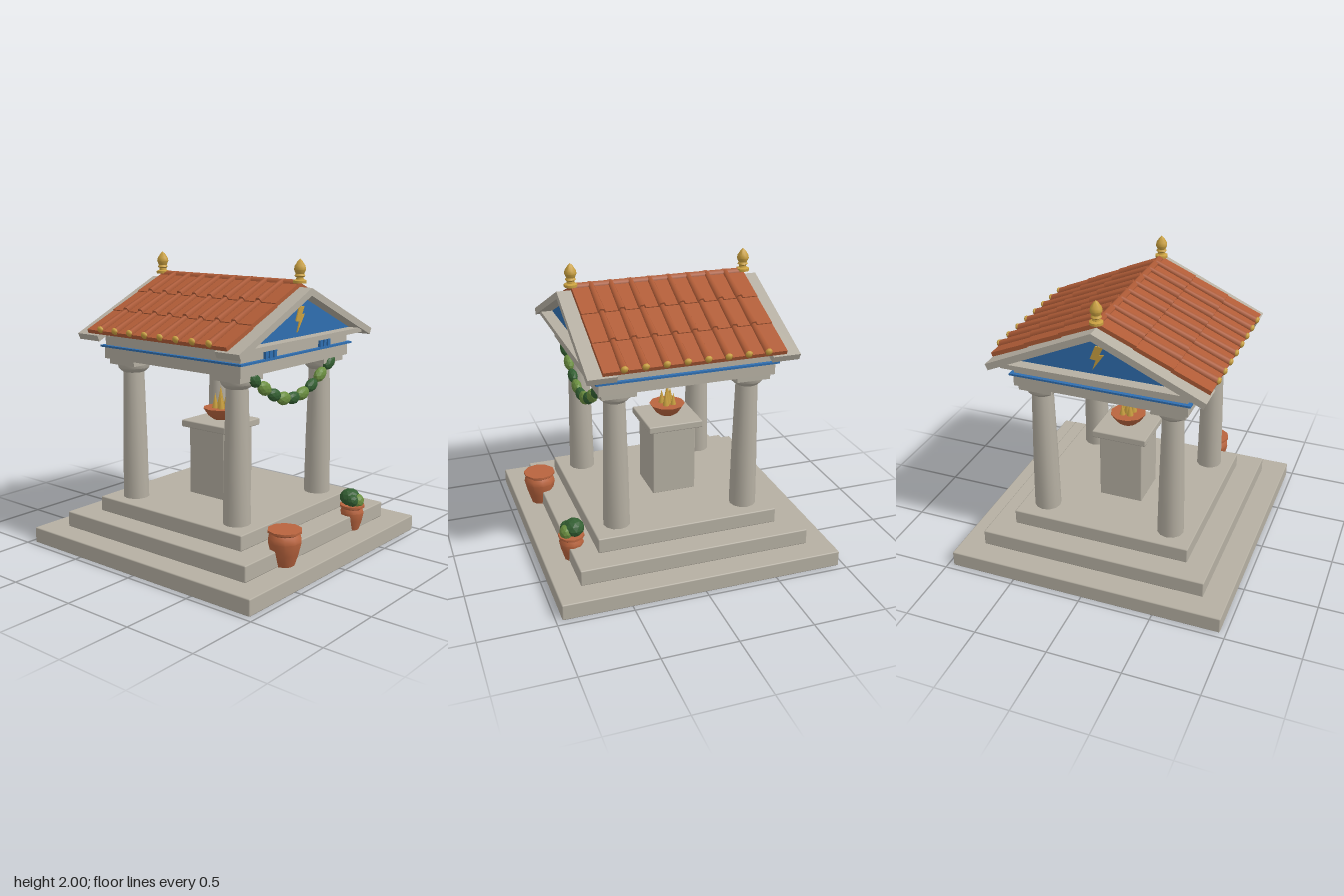
import * as THREE from 'three';
import { toCreasedNormals } from 'three/addons/utils/BufferGeometryUtils.js';
import { RoundedBoxGeometry } from 'three/addons/geometries/RoundedBoxGeometry.js';

const mat = (name, color) => {
  const m = new THREE.MeshStandardMaterial({ color });
  m.name = name;
  return m;
};

export function createModel() {
  const stone = mat('stone', 0xb5afa2);
  const blue = mat('blue paint', 0x2f6eb0);
  const tile = mat('roof tile', 0xb05c37);
  const clay = mat('clay', 0xb9643e);
  const gold = mat('gold', 0xc9a040);
  const darkLeaf = mat('dark leaf', 0x335f32);
  const lightLeaf = mat('light leaf', 0x6b8f40);

  const model = new THREE.Group();
  model.name = 'shrine';

  // Helpers
  const add = (parent, name, geo, material, x = 0, y = 0, z = 0) => {
    const mesh = new THREE.Mesh(geo, material);
    mesh.name = name;
    mesh.position.set(x, y, z);
    parent.add(mesh);
    return mesh;
  };
  const group = (parent, name) => {
    const g = new THREE.Group();
    g.name = name;
    parent.add(g);
    return g;
  };
  const box = (w, h, d) => new THREE.BoxGeometry(w, h, d);
  const block = (w, h, d) => new RoundedBoxGeometry(w, h, d, 1, 0.008);
  const lathe = (points, sides = 10) => {
    const geo = new THREE.LatheGeometry(points.map(([r, y]) => new THREE.Vector2(r, y)), sides);
    geo.rotateY(Math.PI / 2);
    return toCreasedNormals(geo, 0.7);
  };
  const polygon = (points, depth) => new THREE.ExtrudeGeometry(
    new THREE.Shape(points.map(([x, y]) => new THREE.Vector2(x, y))),
    { depth, bevelEnabled: false });
  const square = (r) => [[-r, -r], [r, -r], [r, r], [-r, r]].map(([x, y]) => new THREE.Vector2(x, y));
  const ring = (outer, inner, height) => {
    const shape = new THREE.Shape(square(outer));
    shape.holes.push(new THREE.Path(square(inner).reverse()));
    const geo = new THREE.ExtrudeGeometry(shape, { depth: height, bevelEnabled: false });
    return geo.rotateX(-Math.PI / 2);
  };
  const clump = (rx, ry, rz) => {
    const geo = new THREE.IcosahedronGeometry(1, 1).scale(rx, ry, rz);
    geo.computeVertexNormals();
    return geo;
  };

  // Stepped platform
  [[0.96, 0, 0.11], [0.795, 0.11, 0.22], [0.63, 0.22, 0.325]].forEach(([r, y0, y1]) =>
    add(model, 'step', block(2 * r, y1 - y0, 2 * r), stone, 0, (y0 + y1) / 2, 0));

  // Columns with capitals
  const shaft = lathe([[0, 0.32], [0.092, 0.32], [0.086, 0.72], [0.073, 1.22], [0, 1.22]], 12);
  const echinus = lathe([[0.073, 1.215], [0.088, 1.225], [0.107, 1.245], [0.113, 1.275]], 12);
  for (const x of [-0.455, 0.455]) for (const z of [-0.455, 0.455]) {
    const column = group(model, 'column');
    column.position.set(x, 0, z);
    add(column, 'shaft', shaft, stone);
    add(column, 'echinus', echinus, stone);
    add(column, 'abacus', box(0.23, 0.04, 0.23), stone, 0, 1.29, 0);
  }

  // Ring of beams
  add(model, 'architrave', ring(0.592, 0.335, 0.08), stone, 0, 1.308, 0);
  add(model, 'blueBand', ring(0.613, 0.325, 0.013), blue, 0, 1.387, 0);
  add(model, 'frieze', ring(0.587, 0.335, 0.095), stone, 0, 1.4, 0);
  for (const s of [-1, 1]) for (const x of [0.257, 0.3, 0.345])
    add(model, 'friezeBar', box(0.03, 0.065, 0.022), blue, s * x, 1.4325, 0.595);

  // Pediments, front and back
  const slope = Math.atan(0.455);
  const bolt = [[-0.01, 1.695], [-0.045, 1.605], [-0.006, 1.6], [-0.03, 1.53],
    [0.05, 1.645], [0.018, 1.64], [0.045, 1.695]];
  for (const turn of [0, Math.PI]) {
    const pediment = group(model, turn ? 'backPediment' : 'frontPediment');
    pediment.rotation.y = turn;
    add(pediment, 'tympanum', polygon([[-0.62, 1.49], [0.62, 1.49], [0, 1.778]], 0.04), blue, 0, 0, 0.56);
    add(pediment, 'boltOrnament', polygon(bolt, 0.009), gold, 0, 0, 0.6);
    add(pediment, 'cornice', box(1.27, 0.032, 0.17), stone, 0, 1.484, 0.595);
    for (const s of [-1, 1]) {
      const pivot = group(pediment, 'rakingCornice');
      pivot.position.y = 1.82;
      pivot.rotation.z = -s * slope;
      add(pivot, 'rakingBeam', box(0.808, 0.045, 0.187), stone, s * 0.404, -0.0225, 0.6025);
    }
    // Finial on the ridge end
    add(pediment, 'finial', lathe([[0, 1.845], [0.045, 1.845], [0.045, 1.862], [0.026, 1.87], [0.024, 1.882],
      [0.036, 1.892], [0.028, 1.905], [0.041, 1.932], [0.036, 1.955], [0.016, 1.985], [0, 2]], 10),
      gold, 0, 0, 0.6);
  }

  // Tiled roof: each half has local x down the slope and y off its surface
  const course = 0.264;
  const cover = new THREE.CylinderGeometry(0.019, 0.026, course + 0.015, 6).rotateZ(Math.PI / 2);
  for (const turn of [0, Math.PI]) {
    const half = group(model, 'roofHalf');
    half.position.y = 1.82;
    half.rotation.set(0, turn, -slope, 'YXZ');
    for (let i = 0; i < 3; i++) {
      const x = (i + 0.5) * course;
      add(half, 'tileCourse', box(course + 0.01, 0.028, 1.2), tile, x, 0.016, 0).rotation.z = 0.025;
      for (let j = 0; j < 8; j++) {
        const row = add(half, 'coverTile', cover, tile, x, 0.034, (j - 3.5) * 0.134);
        row.rotation.z = 0.025;
        // the cylinder's wide end points down the slope
        row.scale.x = 1;
      }
    }
    for (let j = 0; j < 8; j++)
      add(half, 'eaveKnob', new THREE.SphereGeometry(0.025, 8, 6).scale(0.7, 1, 1), gold,
        0.795, 0.042, (j - 3.5) * 0.134);
  }
  add(model, 'ridgeCap', new THREE.CylinderGeometry(0.028, 0.028, 1.2, 6).rotateX(Math.PI / 2), tile, 0, 1.838, 0);

  // Altar with fire bowl
  const altar = group(model, 'altar');
  altar.position.z = -0.06;
  add(altar, 'altarBody', block(0.312, 0.485, 0.312), stone, 0, 0.5625, 0);
  add(altar, 'altarTop', block(0.39, 0.05, 0.39), stone, 0, 0.83, 0);
  add(altar, 'fireBowl', lathe([[0, 0.855], [0.05, 0.855], [0.09, 0.885], [0.125, 0.938], [0, 0.932]]), clay);
  [[0, 0, 0.16, 0.032], [0.035, 0.02, 0.11, 0.025], [-0.03, 0.03, 0.1, 0.025],
    [-0.025, -0.03, 0.11, 0.025], [0.03, -0.035, 0.09, 0.022]].forEach(([x, z, h, r]) =>
    add(altar, 'flame', new THREE.ConeGeometry(r, h, 6), gold, x, 0.93 + h / 2, z));

  // Leaf garland between the front columns
  const garland = group(model, 'garland');
  for (let i = -4; i <= 4; i++) {
    const x = i * 0.104;
    const light = i % 2 !== 0;
    const leaf = add(garland, 'leafClump', clump(light ? 0.067 : 0.063, light ? 0.046 : 0.043, 0.034),
      light ? lightLeaf : darkLeaf, x, 1.09 + 1.3 * x * x - 1.5 * x ** 4, 0.56);
    leaf.rotation.z = Math.atan(1.6 * x);
  }

  // Clay pots, one with a plant
  add(model, 'largePot', lathe([[0, 0.11], [0.066, 0.11], [0.092, 0.19], [0.111, 0.27], [0.107, 0.295],
    [0.093, 0.318], [0.113, 0.33], [0.113, 0.345], [0, 0.345]]), clay, -0.395, 0, 0.795);
  add(model, 'smallPot', lathe([[0, 0.11], [0.05, 0.11], [0.072, 0.18], [0.083, 0.235], [0.072, 0.262],
    [0.087, 0.272], [0.087, 0.288], [0, 0.288]]), clay, 0.44, 0, 0.765);
  const plant = group(model, 'plant');
  add(plant, 'bushTop', clump(0.075, 0.062, 0.07), darkLeaf, 0.44, 0.335, 0.745);
  add(plant, 'bushFront', clump(0.05, 0.052, 0.045), lightLeaf, 0.45, 0.315, 0.8);
  add(plant, 'bushSide', clump(0.045, 0.045, 0.045), darkLeaf, 0.405, 0.325, 0.785);

  return model;
}
